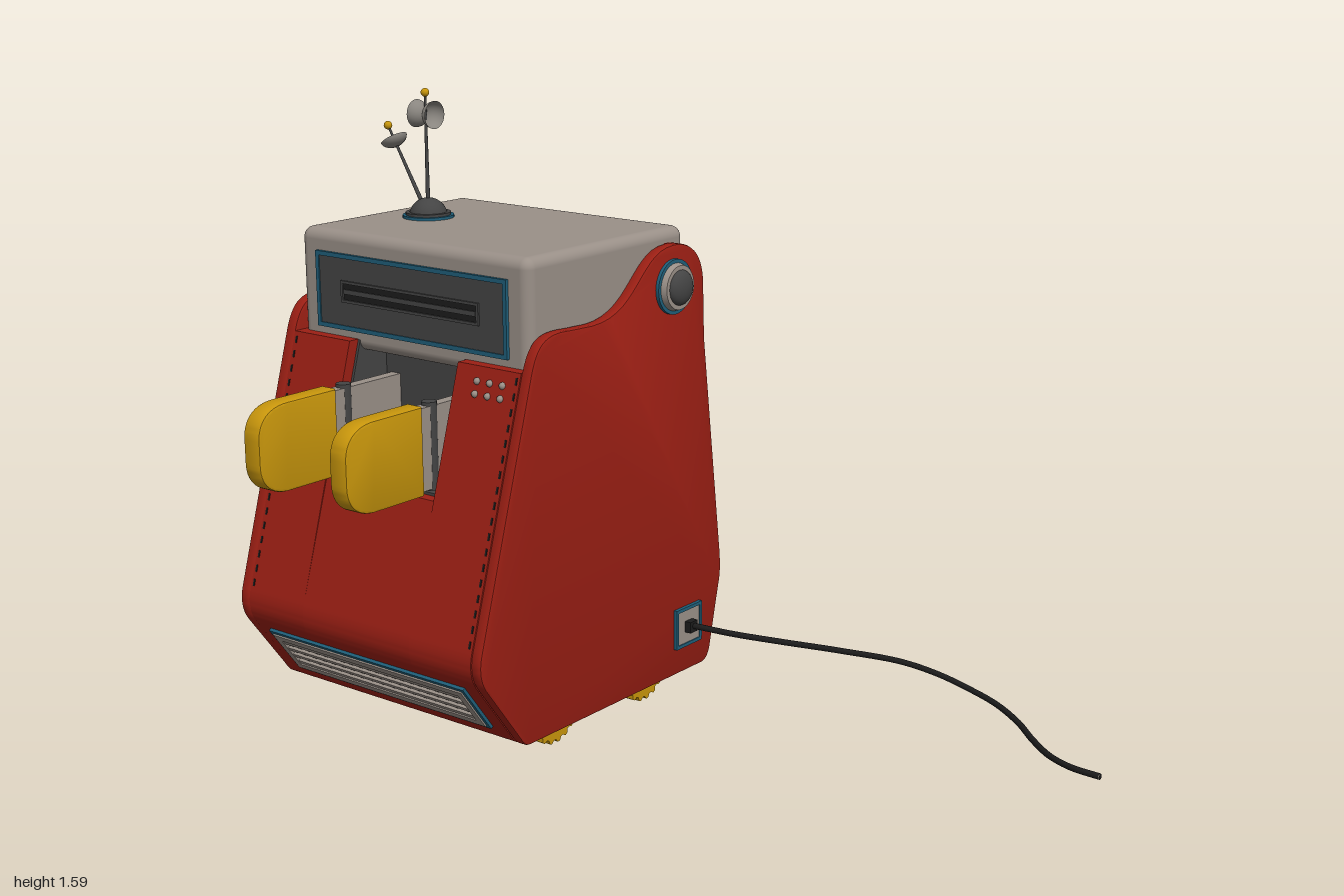
import * as THREE from 'three';
import { toCreasedNormals } from 'three/addons/utils/BufferGeometryUtils.js';
import { RoundedBoxGeometry } from 'three/addons/geometries/RoundedBoxGeometry.js';

const mat = (color, side = THREE.FrontSide) => new THREE.MeshStandardMaterial({ color, side });
const RED = mat(0x9c1f14), GREY = mat(0x9a9088), DARK = mat(0x444444), BLACK = mat(0x1c1c1c);
const YELLOW = mat(0xc8960c), BLUE = mat(0x1f5f7a), DISH = mat(0x8a8680, THREE.DoubleSide);
const CX = -0.54; // middle of the body in x

function add(parent, name, geo, material, x = 0, y = 0, z = 0) {
  const m = new THREE.Mesh(geo, material);
  m.name = name;
  m.position.set(x, y, z);
  parent.add(m);
  return m;
}
const box = (w, h, d) => new THREE.BoxGeometry(w, h, d);
const cyl = (r, h, n = 24, r2 = r) => new THREE.CylinderGeometry(r2, r, h, n);

// Extrude a (z, y) outline along x, from x0 to x1
function extrudeX(shape, x0, x1, bevel = 0) {
  const g = new THREE.ExtrudeGeometry(shape, {
    depth: x1 - x0 - 2 * bevel, curveSegments: 14, bevelEnabled: bevel > 0,
    bevelThickness: bevel, bevelSize: bevel, bevelOffset: -bevel, bevelSegments: 2,
  });
  g.rotateY(-Math.PI / 2).translate(x1 - bevel, 0, 0);
  return toCreasedNormals(g, 0.6);
}

// Rectangular frame facing +z
function frame(w, h, border, depth) {
  const rect = (P, a, b) => new P([[-a, -b], [a, -b], [a, b], [-a, b]].map(p => new THREE.Vector2(...p)));
  const s = rect(THREE.Shape, w / 2, h / 2);
  s.holes.push(rect(THREE.Path, w / 2 - border, h / 2 - border));
  return new THREE.ExtrudeGeometry(s, { depth, bevelEnabled: false });
}

// Side outline of the body; the core variant stops under the head, optionally with a front recess
function bodyShape(kind) {
  const s = new THREE.Shape();
  s.moveTo(0.37, 0.085);
  s.lineTo(-0.32, 0.085);
  s.quadraticCurveTo(-0.35, 0.085, -0.36, 0.12);
  s.lineTo(-0.4, 0.29);
  s.quadraticCurveTo(-0.41, 0.32, -0.403, 0.38);
  s.lineTo(-0.33, 0.97);
  s.lineTo(-0.325, 1.12);
  s.bezierCurveTo(-0.32, 1.195, -0.27, 1.23, -0.2, 1.23);
  if (kind === 'side') {
    s.bezierCurveTo(-0.06, 1.23, -0.06, 1.08, 0.12, 1.08);
    s.lineTo(0.2, 1.083);
    s.bezierCurveTo(0.28, 1.09, 0.32, 1.08, 0.345, 1.0);
  } else {
    s.lineTo(-0.2, 1.0);
    if (kind === 'recess') {
      s.lineTo(0.22, 1.0);
      s.lineTo(0.22, 0.675);
      s.lineTo(0.44, 0.675);
    } else s.lineTo(0.345, 1.0);
  }
  s.lineTo(0.535, 0.37);
  s.quadraticCurveTo(0.555, 0.31, 0.52, 0.265);
  s.lineTo(0.405, 0.11);
  s.quadraticCurveTo(0.39, 0.085, 0.37, 0.085);
  return s;
}

// Slatted vent facing +z
function vent(h) {
  const g = new THREE.Group();
  g.name = 'vent';
  add(g, 'ventTrim', frame(0.67, h, 0.01, 0.008), BLUE);
  add(g, 'ventFrame', frame(0.65, h - 0.02, 0.02, 0.012), GREY);
  add(g, 'ventBack', box(0.63, h - 0.03, 0.006), BLACK);
  for (let i = 0; i < 4; i++)
    add(g, 'ventSlat', box(0.61, 0.012, 0.014), GREY, 0, (i - 1.5) * (h - 0.05) / 4, 0.003);
  return g;
}

export function createModel() {
  const root = new THREE.Group();
  root.name = 'machine';

  // Body shell: three core sections and two side panels
  add(root, 'bodyCore', extrudeX(bodyShape('core'), -0.92, -0.725), RED);
  add(root, 'bodyCore', extrudeX(bodyShape('recess'), -0.725, -0.36), RED);
  add(root, 'bodyCore', extrudeX(bodyShape('core'), -0.36, -0.16), RED);
  const side = bodyShape('side');
  add(root, 'sidePanel', extrudeX(side, -0.953, -0.92, 0.006), RED);
  add(root, 'sidePanel', extrudeX(side, -0.16, -0.128, 0.006), RED);

  // Dark lining of the front recess
  add(root, 'recessFloor', box(0.365, 0.008, 0.19), DARK, -0.5425, 0.678, 0.315);
  add(root, 'recessBack', box(0.365, 0.32, 0.008), DARK, -0.5425, 0.835, 0.222);
  const wall = new THREE.Shape([[0.22, 0.68], [0.41, 0.68], [0.315, 1.0], [0.22, 1.0]].map(p => new THREE.Vector2(...p)));
  add(root, 'recessWall', extrudeX(wall, -0.725, -0.718), DARK);
  add(root, 'recessWall', extrudeX(wall, -0.367, -0.36), DARK);

  // Stitches along the panel seams: [z, y] start and end, front and back
  for (const [z0, y0, z1, y1] of [[0.351, 0.98, 0.532, 0.38], [-0.332, 0.96, -0.401, 0.4]])
    for (let i = 0; i < 18; i++)
      for (const x of [-0.91, -0.17]) {
        const t = i / 17;
        const m = add(root, 'stitch', box(0.005, 0.018, 0.004), BLACK, x, y0 + (y1 - y0) * t, z0 + (z1 - z0) * t);
        m.rotation.x = Math.atan2(z1 - z0, y1 - y0);
      }

  // Small studs on the front
  for (let i = 0; i < 3; i++)
    for (const y of [0.965, 0.935])
      add(root, 'stud', new THREE.SphereGeometry(0.009, 10, 8), GREY, -0.29 + i * 0.04, y, 0.345 + (1 - y) * 0.302);

  // Vents on the lower front and back slopes
  const frontVent = vent(0.162);
  frontVent.position.set(CX, 0.195, 0.468);
  frontVent.rotation.x = 0.639;
  const backVent = vent(0.14);
  backVent.position.set(CX, 0.195, -0.378);
  backVent.rotation.set(0.231, Math.PI, 0, 'YXZ');
  root.add(frontVent, backVent);

  // Head with its face panel
  add(root, 'head', new RoundedBoxGeometry(0.76, 0.295, 0.6, 4, 0.028), GREY, CX, 1.1175, 0.015);
  add(root, 'facePlate', box(0.62, 0.18, 0.008), DARK, CX, 1.115, 0.317);
  add(root, 'faceTrim', frame(0.635, 0.192, 0.011, 0.01), BLUE, CX, 1.115, 0.314);
  add(root, 'faceSlot', frame(0.46, 0.055, 0.007, 0.006), DARK, CX, 1.117, 0.32);
  add(root, 'faceSlotFill', box(0.446, 0.041, 0.004), BLACK, CX, 1.117, 0.32);
  add(root, 'faceRidge', box(0.44, 0.012, 0.008), DARK, CX, 1.117, 0.321);

  // Round knobs on both sides
  for (const s of [-1, 1]) {
    const knob = new THREE.Group();
    knob.name = 'sideKnob';
    knob.position.set(CX + s * 0.41, 1.125, -0.195);
    knob.rotation.z = -s * Math.PI / 2;
    add(knob, 'knobTrim', cyl(0.07, 0.014, 36), BLUE, 0, 0.004);
    add(knob, 'knobRing', cyl(0.064, 0.026, 36, 0.056), GREY, 0, 0.013);
    const dome = add(knob, 'knobDome', new THREE.SphereGeometry(0.045, 28, 10, 0, Math.PI * 2, 0, Math.PI / 2), DARK, 0, 0.025);
    dome.scale.y = 0.5;
    root.add(knob);
  }

  // Two arms with rounded pads
  const pad = new THREE.Shape();
  pad.moveTo(0.46, 0.69);
  pad.lineTo(0.62, 0.69);
  pad.bezierCurveTo(0.68, 0.69, 0.715, 0.72, 0.715, 0.77);
  pad.lineTo(0.715, 0.83);
  pad.bezierCurveTo(0.715, 0.88, 0.68, 0.91, 0.62, 0.91);
  pad.lineTo(0.46, 0.91);
  for (const x of [-0.686, -0.397]) {
    add(root, 'armPad', extrudeX(pad, x - 0.027, x + 0.027, 0.006), YELLOW);
    add(root, 'armPlate', box(0.03, 0.205, 0.245), GREY, x, 0.8, 0.345);
    add(root, 'armPin', cyl(0.019, 0.218, 16), DARK, x, 0.802, 0.41);
  }

  // Ribbed rollers underneath
  const gear = new THREE.Shape();
  for (let i = 0; i < 72; i++) {
    const a = i / 72 * Math.PI * 2, r = i % 4 < 2 ? 0.087 : 0.078;
    gear[i ? 'lineTo' : 'moveTo'](Math.cos(a) * r, Math.sin(a) * r);
  }
  for (const z of [0.2, -0.16])
    for (let i = 0; i < 4; i++)
      add(root, 'roller', extrudeX(gear, -0.068, 0.068), YELLOW, -0.82 + i * 0.186, 0.102, z);

  // Socket and cable
  const socket = new THREE.Group();
  socket.name = 'socket';
  socket.position.set(-0.126, 0.213, -0.252);
  socket.rotation.y = Math.PI / 2;
  add(socket, 'socketTrim', frame(0.108, 0.108, 0.009, 0.01), BLUE);
  add(socket, 'socketPlate', box(0.092, 0.092, 0.014), GREY);
  add(socket, 'plug', box(0.03, 0.03, 0.03), BLACK, 0, 0, 0.01);
  root.add(socket);
  const path = [[-0.12, 0.215, -0.25], [-0.09, 0.214, -0.256], [0, 0.206, -0.285], [0.1, 0.185, -0.36],
    [0.2, 0.14, -0.5], [0.3, 0.09, -0.64], [0.38, 0.057, -0.695], [0.46, 0.033, -0.71], [0.55, 0.018, -0.695],
    [0.65, 0.012, -0.635], [0.75, 0.015, -0.54], [0.84, 0.024, -0.46], [0.92, 0.031, -0.417], [1, 0.033, -0.407]];
  const curve = new THREE.CatmullRomCurve3(path.map(p => new THREE.Vector3(...p)));
  add(root, 'cable', new THREE.TubeGeometry(curve, 100, 0.008, 10), BLACK);
  const end = add(root, 'cableEnd', new THREE.CircleGeometry(0.008, 10), BLACK, 1, 0.033, -0.407);
  end.rotation.y = Math.PI / 2;

  // Antenna: base, upright mast with two dishes, leaning mast with one
  const antenna = new THREE.Group();
  antenna.name = 'antenna';
  antenna.position.set(-0.755, 1.265, 0.02);
  add(antenna, 'antennaTrim', cyl(0.066, 0.01, 32), BLUE, 0, 0.002);
  add(antenna, 'antennaBase', cyl(0.058, 0.016, 32), DARK, 0, 0.006);
  add(antenna, 'antennaDome', new THREE.SphereGeometry(0.05, 28, 10, 0, Math.PI * 2, 0, Math.PI / 2), DARK);
  const dish = new THREE.SphereGeometry(0.036, 24, 8, 0, Math.PI * 2, 0, 1.45).translate(0, -0.036, 0);
  const mast = (length, lean) => {
    const g = new THREE.Group();
    g.name = 'mast';
    g.rotation.z = lean;
    add(g, 'mastRod', cyl(0.006, length, 10, 0.003), DARK, 0, length / 2);
    add(g, 'mastTip', new THREE.SphereGeometry(0.011, 14, 10), YELLOW, 0, length);
    antenna.add(g);
    return g;
  };
  const upright = mast(0.318, 0);
  for (const s of [-1, 1]) add(upright, 'dish', dish, DISH, 0, 0.263).rotation.z = s * Math.PI / 2;
  const leaning = mast(0.262, 0.54);
  const cup = add(leaning, 'dish', dish, DISH, 0, 0.202);
  cup.rotation.z = Math.PI;
  cup.scale.y = 0.7;
  root.add(antenna);

  return root;
}
